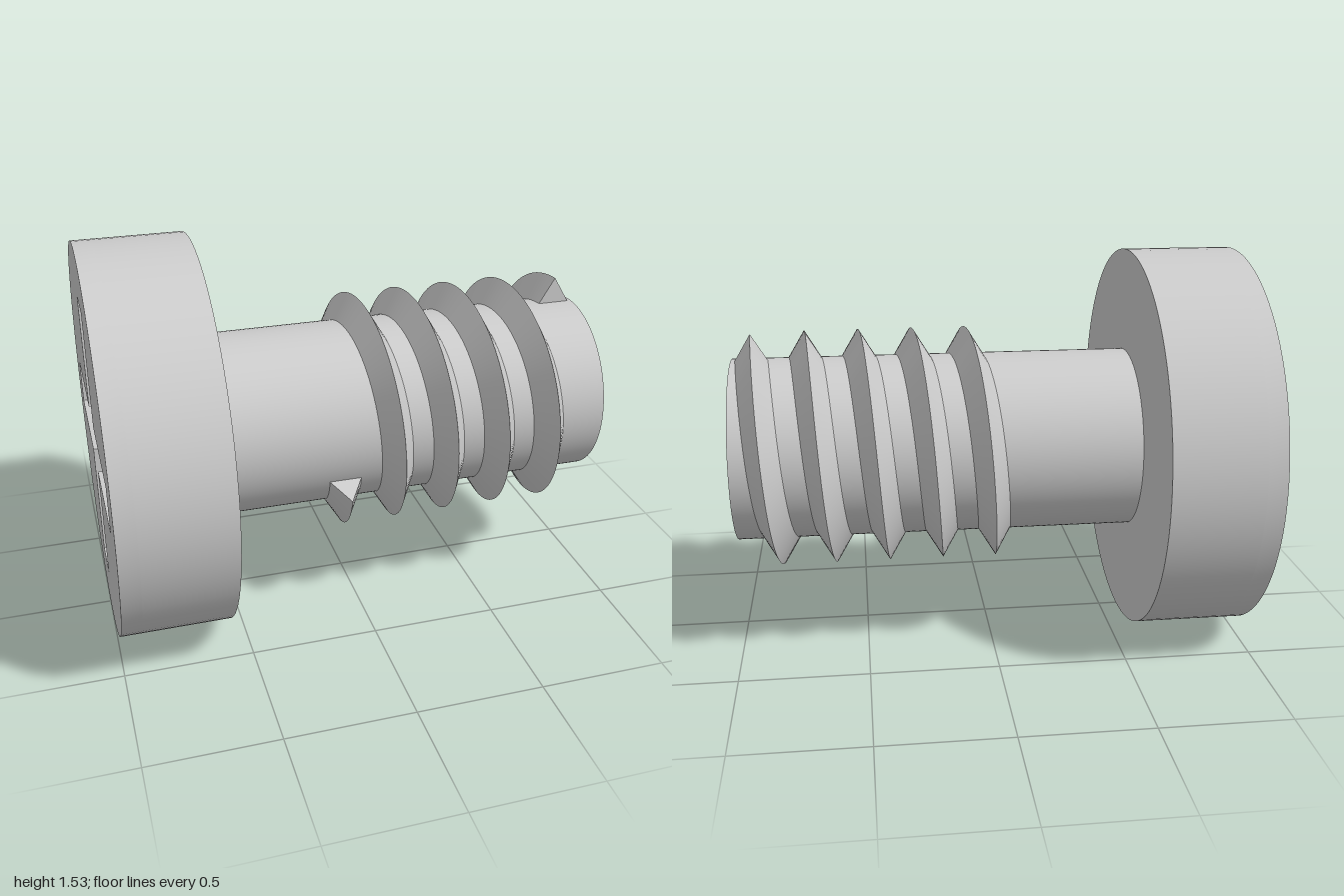
import * as THREE from 'three';
import { toCreasedNormals } from 'three/addons/utils/BufferGeometryUtils.js';

const HEAD_R = 0.765, SHAFT_R = 0.361, CREST_R = 0.467;
const HEAD_START = -1, HEAD_END = -0.575, TIP = 1;
const RECESS = { depth: 0.075, arm: 0.56, half: 0.095 };
const PITCH = 0.2125, SIDES = 96;

const material = new THREE.MeshStandardMaterial({ color: 0xcccccc });

function addMesh(parent, name, geometry) {
  const mesh = new THREE.Mesh(geometry, material);
  mesh.name = name;
  parent.add(mesh);
}

// Solid cylinder lying along x between two stations
function rod(radius, x0, x1) {
  return new THREE.CylinderGeometry(radius, radius, x1 - x0, SIDES)
    .rotateZ(-Math.PI / 2)
    .translate((x0 + x1) / 2, 0, 0);
}

// Outer slice of the head, pierced by the cross-shaped driver slot
function slottedPlate() {
  const { depth, arm: a, half: h } = RECESS;
  const disc = new THREE.Shape().absarc(0, 0, HEAD_R, 0, Math.PI * 2, false);
  const cross = [
    [h, h], [h, a], [-h, a], [-h, h], [-a, h], [-a, -h],
    [-h, -h], [-h, -a], [h, -a], [h, -h], [a, -h], [a, h],
  ].map(([x, y]) => new THREE.Vector2(x, y));
  disc.holes.push(new THREE.Path(cross));
  const plate = new THREE.ExtrudeGeometry(disc, {
    depth, bevelEnabled: false, curveSegments: SIDES / 2,
  });
  return toCreasedNormals(plate.rotateY(Math.PI / 2).translate(HEAD_START, 0, 0), 0.5);
}

// V-section ridge swept along a helix; angle runs from the top towards the front
function threadGeometry() {
  const start = THREE.MathUtils.degToRad(-245.5), end = Math.PI * 8;
  const topX = 0.07, halfWidth = 0.067, rootR = 0.356;
  const steps = Math.round((end - start) / (Math.PI * 2) * SIDES);
  const positions = [], index = [];

  for (let i = 0; i <= steps; i++) {
    const t = start + (end - start) * i / steps;
    const x = topX + PITCH * t / (Math.PI * 2);
    for (const [dx, r] of [[-halfWidth, rootR], [0, CREST_R], [halfWidth, rootR]]) {
      positions.push(x + dx, r * Math.cos(t), r * Math.sin(t));
    }
    if (i === steps) break;
    const n = i * 3;
    for (const k of [n, n + 1]) {
      index.push(k, k + 3, k + 1, k + 1, k + 3, k + 4);
    }
  }
  // Triangular end faces
  const last = steps * 3;
  index.push(0, 1, 2, last, last + 2, last + 1);

  const geometry = new THREE.BufferGeometry();
  geometry.setAttribute('position', new THREE.Float32BufferAttribute(positions, 3));
  geometry.setIndex(index);
  return toCreasedNormals(geometry, 0.5);
}

export function createModel() {
  const screw = new THREE.Group();
  screw.name = 'screw';

  const head = new THREE.Group();
  head.name = 'head';
  addMesh(head, 'slottedFace', slottedPlate());
  addMesh(head, 'headBody', rod(HEAD_R, HEAD_START + RECESS.depth, HEAD_END));
  screw.add(head);

  addMesh(screw, 'shaft', rod(SHAFT_R, HEAD_END - 0.02, TIP));
  addMesh(screw, 'thread', threadGeometry());

  // Rest the head's rim on the ground
  screw.position.y = HEAD_R;
  const model = new THREE.Group();
  model.name = 'crossSlotScrew';
  model.add(screw);
  return model;
}
